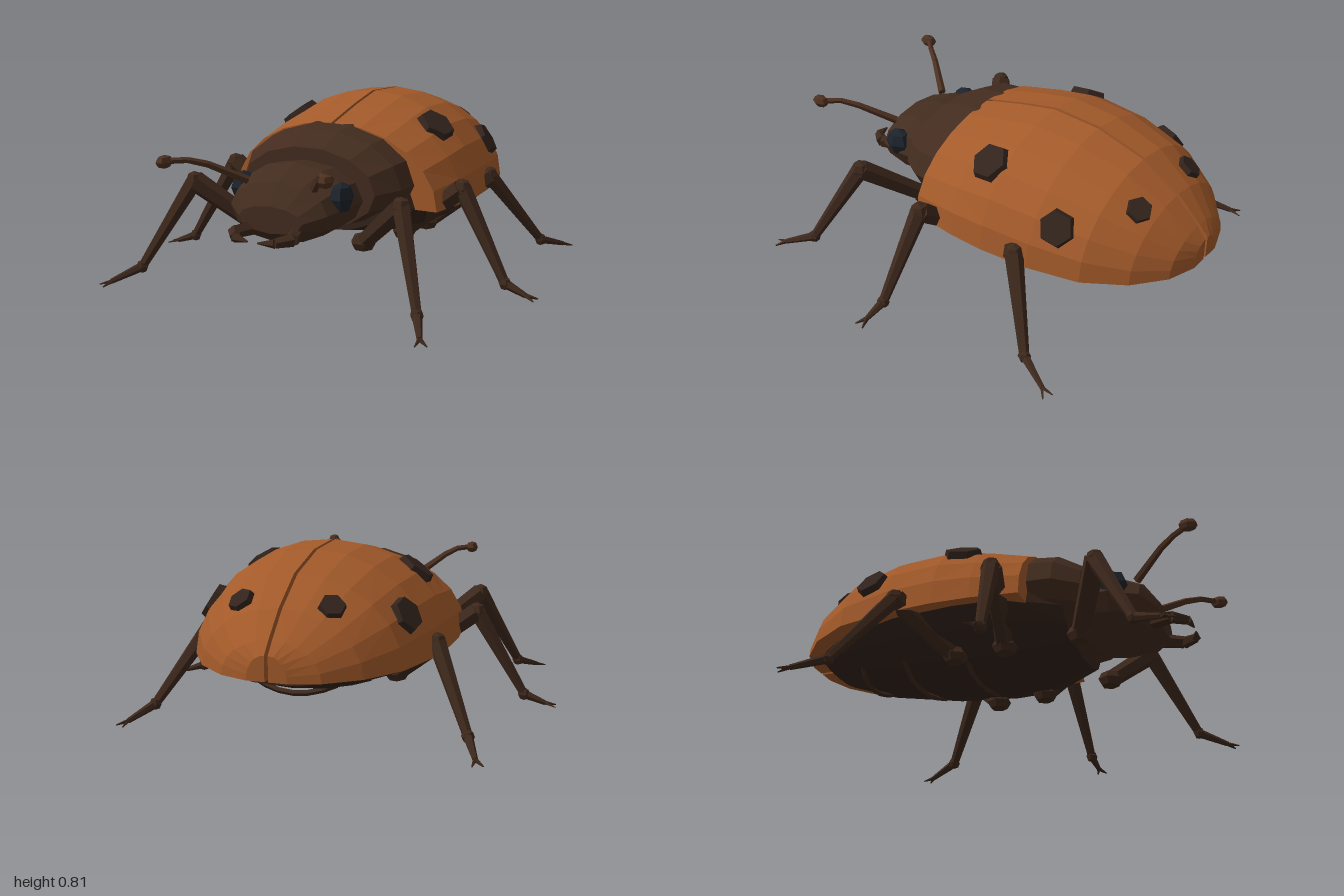
import * as THREE from 'three';
import { mergeGeometries } from 'three/addons/utils/BufferGeometryUtils.js';

const V = (x, y, z) => new THREE.Vector3(x, y, z);
const mat = (color) => new THREE.MeshStandardMaterial({ color, flatShading: true, roughness: 0.8 });
const SHELL = mat(0xa35a2a), BODY = mat(0x432c1f), BELLY = mat(0x33231a);
const LEG = mat(0x3d281c), SPOT = mat(0x32231c), EYE = mat(0x1c232b), FEELER = mat(0x4c3020);

// Closed skin through rings that run back to front, counterclockwise seen from +z
function loft(rings) {
  const n = rings[0].length, pos = [], idx = [];
  rings.forEach((r) => r.forEach((p) => pos.push(p.x, p.y, p.z)));
  for (let i = 0; i < rings.length - 1; i++) {
    for (let j = 0; j < n; j++) {
      const a = i * n + j, b = i * n + (j + 1) % n;
      idx.push(a, b, b + n, a, b + n, a + n);
    }
  }
  const f = (rings.length - 1) * n;
  for (let j = 1; j < n - 1; j++) idx.push(0, j + 1, j, f, f + j, f + j + 1);
  const g = new THREE.BufferGeometry();
  g.setAttribute('position', new THREE.Float32BufferAttribute(pos, 3));
  g.setIndex(idx);
  return finish(g);
}

function finish(g) {
  const out = g.index ? g.toNonIndexed() : g;
  out.deleteAttribute('uv');
  out.computeVertexNormals();
  return out;
}

// Egg-shaped body from rows of [z, half width, top, bottom, widest height]
function bodyLoft(rows, sides) {
  return loft(rows.map(([z, w, top, bottom, mid]) => Array.from({ length: sides }, (_, j) => {
    const t = (j / sides) * Math.PI * 2, s = Math.sin(t);
    return V(w * Math.cos(t), mid + s * (s > 0 ? top - mid : mid - bottom), z);
  })));
}

function limb(a, b, r0, r1, sides = 6) {
  const d = b.clone().sub(a);
  const g = new THREE.CylinderGeometry(r1, r0, d.length(), sides);
  g.applyQuaternion(new THREE.Quaternion().setFromUnitVectors(V(0, 1, 0), d.normalize()));
  g.translate(...a.clone().add(b).multiplyScalar(0.5).toArray());
  return finish(g);
}

function ball(p, rx, ry = rx, rz = rx) {
  return finish(new THREE.SphereGeometry(1, 6, 4).scale(rx, ry, rz).translate(p.x, p.y, p.z));
}

function chain(points, radii, sides) {
  return mergeGeometries(points.slice(1).map((p, i) => limb(points[i], p, radii[i], radii[i + 1], sides)));
}

// Mirror across x = 0 and restore the corner order
function mirror(g) {
  const m = g.clone().scale(-1, 1, 1), p = m.attributes.position;
  for (let i = 0; i < p.count; i += 3) {
    const a = V().fromBufferAttribute(p, i + 1), b = V().fromBufferAttribute(p, i + 2);
    p.setXYZ(i + 1, b.x, b.y, b.z);
    p.setXYZ(i + 2, a.x, a.y, a.z);
  }
  m.computeVertexNormals();
  return m;
}

// Wing case rows: z, half width, top
const BASE = 0.35, GAP = 0.008;
const CASE = [
  [-1, 0.09, 0.46], [-0.955, 0.22, 0.51], [-0.84, 0.36, 0.62], [-0.66, 0.475, 0.735],
  [-0.42, 0.535, 0.8], [-0.18, 0.557, 0.81], [0, 0.555, 0.77], [0.22, 0.53, 0.71],
];

// Height of the wing case above a point
function caseHeight(x, z) {
  const i = Math.max(1, CASE.findIndex((r) => r[0] >= z));
  const [a, b] = [CASE[i - 1], CASE[i]], t = (z - a[0]) / (b[0] - a[0]);
  const w = THREE.MathUtils.lerp(a[1], b[1], t), h = THREE.MathUtils.lerp(a[2], b[2], t) - BASE;
  return BASE + h * Math.sqrt(Math.max(0, 1 - (x / w) ** 2));
}

function spot(x, z, r) {
  const e = 0.03, y = caseHeight(x, z);
  const n = V(caseHeight(x - e, z) - caseHeight(x + e, z), 2 * e,
    caseHeight(x, z - e) - caseHeight(x, z + e)).normalize();
  const g = new THREE.CylinderGeometry(r * 0.85, r, 0.045, 6);
  g.applyQuaternion(new THREE.Quaternion().setFromUnitVectors(V(0, 1, 0), n));
  return finish(g.translate(x, y, z));
}

function leg(hip, knee, ankle, tip) {
  const out = tip.clone().sub(ankle).setY(0).normalize(), side = V(-out.z, 0, out.x);
  const toe = tip.clone().addScaledVector(out, -0.05).setY(0.018);
  const claws = [-1, 1].map((s) =>
    limb(toe, tip.clone().addScaledVector(side, s * 0.024), 0.011, 0.003, 4));
  return mergeGeometries([
    ball(hip, 0.06, 0.045, 0.06),
    limb(hip, knee, 0.042, 0.05),
    ball(knee, 0.045),
    limb(knee, ankle, 0.042, 0.022),
    ball(ankle, 0.03),
    limb(ankle, toe, 0.022, 0.012),
    ...claws,
  ]);
}

export function createModel() {
  const model = new THREE.Group();
  const add = (name, geo, material) => {
    const m = new THREE.Mesh(geo, material);
    m.name = name;
    model.add(m);
  };
  const pair = (name, geo, material) => {
    add(name + 'Left', geo, material);
    add(name + 'Right', mirror(geo), material);
  };

  // Wing cases: quarter domes with a narrow slit between them
  pair('wingCase', loft(CASE.map(([z, w, top]) => {
    const ring = [V(GAP, BASE, z)];
    for (let j = 0; j <= 6; j++) {
      const t = (j / 6) * Math.PI / 2;
      ring.push(V(GAP + (w - GAP) * Math.cos(t), BASE + (top - BASE) * Math.sin(t), z));
    }
    return ring;
  })), SHELL);
  [[0.37, -0.1, 0.1], [0.445, -0.52, 0.09], [0.2, -0.77, 0.065]].forEach(([x, z, r], i) =>
    pair('spot' + (i + 1), spot(x, z, r), SPOT));

  // Abdomen, collar plate and head
  add('abdomen', bodyLoft([
    [-0.9, 0.2, 0.47, 0.31, 0.35], [-0.72, 0.35, 0.62, 0.25, 0.35], [-0.4, 0.47, 0.71, 0.205, 0.35],
    [-0.1, 0.5, 0.715, 0.18, 0.35], [0.12, 0.49, 0.69, 0.19, 0.35], [0.36, 0.33, 0.6, 0.24, 0.36],
  ], 12), BELLY);
  add('collarPlate', bodyLoft([
    [0.2, 0.42, 0.715, 0.27, 0.46], [0.33, 0.41, 0.7, 0.27, 0.46], [0.445, 0.34, 0.635, 0.27, 0.45],
  ], 14), BODY);
  add('head', bodyLoft([
    [0.42, 0.28, 0.575, 0.27, 0.42], [0.55, 0.285, 0.585, 0.25, 0.42],
    [0.69, 0.245, 0.525, 0.255, 0.4], [0.755, 0.16, 0.43, 0.31, 0.37],
  ], 12), BODY);
  pair('eye', ball(V(0.25, 0.46, 0.58), 0.055, 0.07, 0.07), EYE);

  // Belly ribs
  [[-0.16, 0.28, 0.15], [-0.47, 0.26, 0.165], [-0.72, 0.19, 0.195]].forEach(([z, w, y], i) => {
    const curve = new THREE.QuadraticBezierCurve3(
      V(-w, y + 0.075, z + 0.04), V(0, y - 0.015, z - 0.02), V(w, y + 0.075, z + 0.04));
    add('bellyRib' + (i + 1), finish(new THREE.TubeGeometry(curve, 6, 0.013, 4)), LEG);
  });

  // Jaws and feelers
  pair('jaw', chain([V(0.11, 0.32, 0.72), V(0.145, 0.315, 0.81), V(0.1, 0.31, 0.875), V(0.025, 0.305, 0.89)],
    [0.035, 0.03, 0.022, 0.004], 5), LEG);
  pair('feeler', mergeGeometries([
    chain([V(0.17, 0.51, 0.67), V(0.28, 0.595, 0.81), V(0.33, 0.62, 0.88), V(0.39, 0.622, 0.95)],
      [0.02, 0.016, 0.014, 0.014], 5),
    ball(V(0.395, 0.62, 0.955), 0.032, 0.03, 0.045),
  ]), FEELER);

  // Legs
  pair('frontLeg', leg(V(0.27, 0.23, 0.42), V(0.53, 0.45, 0.57), V(0.7, 0.065, 0.76), V(0.8, 0.005, 0.93)), LEG);
  pair('middleLeg', leg(V(0.3, 0.21, 0.08), V(0.61, 0.45, 0.125), V(0.84, 0.055, 0.165), V(0.99, 0.005, 0.18)), LEG);
  pair('hindLeg', leg(V(0.3, 0.2, -0.16), V(0.54, 0.41, -0.36), V(0.735, 0.065, -0.57), V(0.82, 0.005, -0.76)), LEG);
  return model;
}
